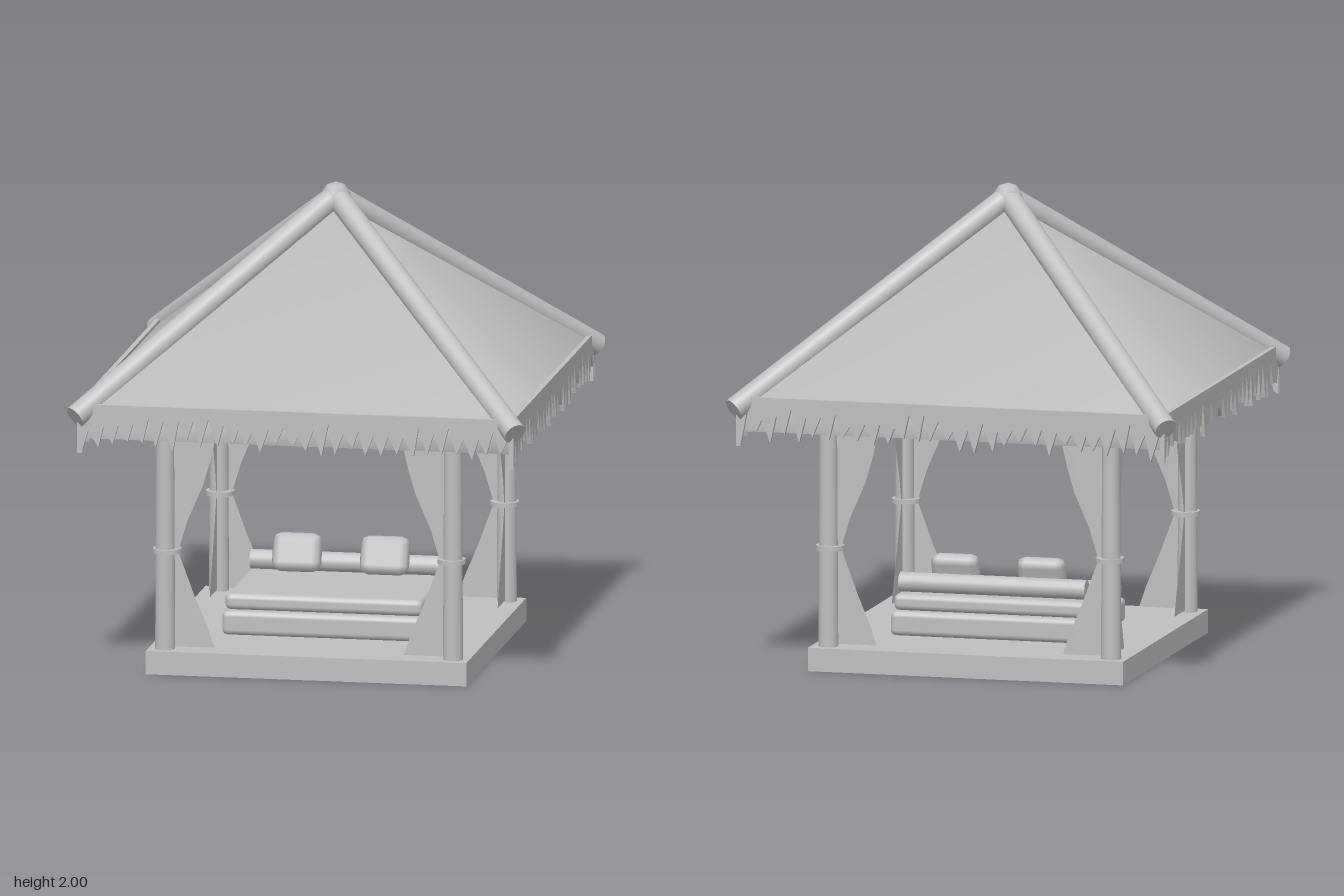
import * as THREE from 'three';
import { RoundedBoxGeometry } from 'three/addons/geometries/RoundedBoxGeometry.js';

const grey = new THREE.MeshStandardMaterial({ color: 0xbfbfbf, side: THREE.DoubleSide });
grey.name = 'plain grey';

export function createModel() {
  const model = new THREE.Group();
  model.name = 'gazebo';

  const add = (name, geometry, x = 0, y = 0, z = 0, parent = model) => {
    const mesh = new THREE.Mesh(geometry, grey);
    mesh.name = name;
    mesh.position.set(x, y, z);
    parent.add(mesh);
    return mesh;
  };

  // Round pole between two points
  const pole = (name, a, b, radius, parent = model, endRadius = radius) => {
    const from = new THREE.Vector3(...a), to = new THREE.Vector3(...b);
    const dir = to.clone().sub(from);
    const mesh = add(name, new THREE.CylinderGeometry(endRadius, radius, dir.length(), 16), 0, 0, 0, parent);
    mesh.position.copy(from).add(to).multiplyScalar(0.5);
    mesh.quaternion.setFromUnitVectors(new THREE.Vector3(0, 1, 0), dir.normalize());
    return mesh;
  };

  // Smooth surface from indexed points
  const surface = (positions, index) => {
    const g = new THREE.BufferGeometry();
    g.setAttribute('position', new THREE.Float32BufferAttribute(positions, 3));
    g.setIndex(index);
    g.computeVertexNormals();
    return g;
  };

  let seed = 7;
  const random = () => (seed = (seed * 16807) % 2147483647) / 2147483647;

  // Ragged thatch strip hanging from the eave
  const fringeGeometry = () => {
    const half = 0.93, count = 29, step = (2 * half) / count;
    const shape = new THREE.Shape();
    shape.moveTo(-half, 1.2);
    shape.lineTo(-half, 0.99);
    shape.lineTo(-half + step * 0.3, 1.0);
    for (let i = 1; i < count; i++) {
      const x = -half + i * step;
      shape.lineTo(x - step * 0.3, 1.09 + 0.07 * random());
      shape.lineTo(x + step * (0.1 + 0.3 * random()), 1.0 + 0.06 * random());
    }
    shape.lineTo(half - step * 0.3, 1.12);
    shape.lineTo(half, 0.99);
    shape.lineTo(half, 1.2);
    return new THREE.ExtrudeGeometry(shape, { depth: 0.02, bevelEnabled: false });
  };

  // Curtain folded round its post: rows of [height, reach from the post centre]
  const curtainGeometry = () => {
    const rows = [[1.17, 0.25], [1.03, 0.22], [0.9, 0.19], [0.8, 0.16], [0.65, 0.095], [0.54, 0.062],
      [0.5, 0.062], [0.33, 0.125], [0.2, 0.18], [0.11, 0.21]];
    const positions = [], index = [], n = 5, bend = 0.02;
    rows.forEach(([y, reach], r) => {
      positions.push(-reach, y, 0, -bend, y, 0, -bend * 0.3, y, -bend * 0.3, 0, y, -bend, 0, y, -reach);
      for (let i = 0; r && i < n - 1; i++) {
        const a = (r - 1) * n + i, b = r * n + i;
        index.push(a, b, a + 1, a + 1, b, b + 1);
      }
    });
    return surface(positions, index);
  };

  // Pyramid roof with a short skirt at the eave
  const roofGeometry = () => {
    const E = 0.91, positions = [0, 1.93, 0], index = [];
    for (const y of [1.19, 1.05]) positions.push(-E, y, E, E, y, E, E, y, -E, -E, y, -E);
    for (let i = 0; i < 4; i++) {
      const a = 1 + i, b = 1 + ((i + 1) % 4);
      index.push(0, a, b, a, a + 4, b, b, a + 4, b + 4);
    }
    return surface(positions, index);
  };

  // Floor platform
  add('platform', new THREE.BoxGeometry(1.37, 0.1, 1.37), 0, 0.05, 0);

  // Four identical corners and sides
  const curtain = curtainGeometry();
  const P = 0.615;
  for (let i = 0; i < 4; i++) {
    const side = new THREE.Group();
    side.name = 'side' + (i + 1);
    side.rotation.y = (i * Math.PI) / 2;
    model.add(side);
    pole('post', [P, 0.1, P], [P, 1.2, P], 0.043, side, 0.037);
    pole('beam', [-P, 1.17, P], [P, 1.17, P], 0.032, side);
    pole('hipPole', [0, 1.94, 0], [0.94, 1.145, 0.94], 0.049, side);
    add('curtain', curtain, P, 0, P, side);
    add('curtainTie', new THREE.CylinderGeometry(0.061, 0.061, 0.02, 16), P - 0.007, 0.52, P - 0.007, side);
    add('thatchFringe', fringeGeometry(), 0, 0, 0.912, side);
  }

  add('roof', roofGeometry());
  add('roofCap', new THREE.SphereGeometry(0.065, 8, 5), 0, 1.935, 0);

  // Daybed with bolster and two leaning pillows
  add('bedBase', new RoundedBoxGeometry(0.865, 0.105, 0.62, 2, 0.025), 0, 0.1525, 0);
  add('mattress', new RoundedBoxGeometry(0.845, 0.07, 0.58, 2, 0.025), 0, 0.24, 0);
  pole('bolster', [-0.405, 0.32, -0.23], [0.405, 0.32, -0.23], 0.042);
  for (const x of [-0.2, 0.175]) {
    const pillow = add('pillow', new RoundedBoxGeometry(0.21, 0.165, 0.075, 1, 0.036), x, 0.365, -0.185);
    pillow.rotation.x = -0.32;
  }
  return model;
}
